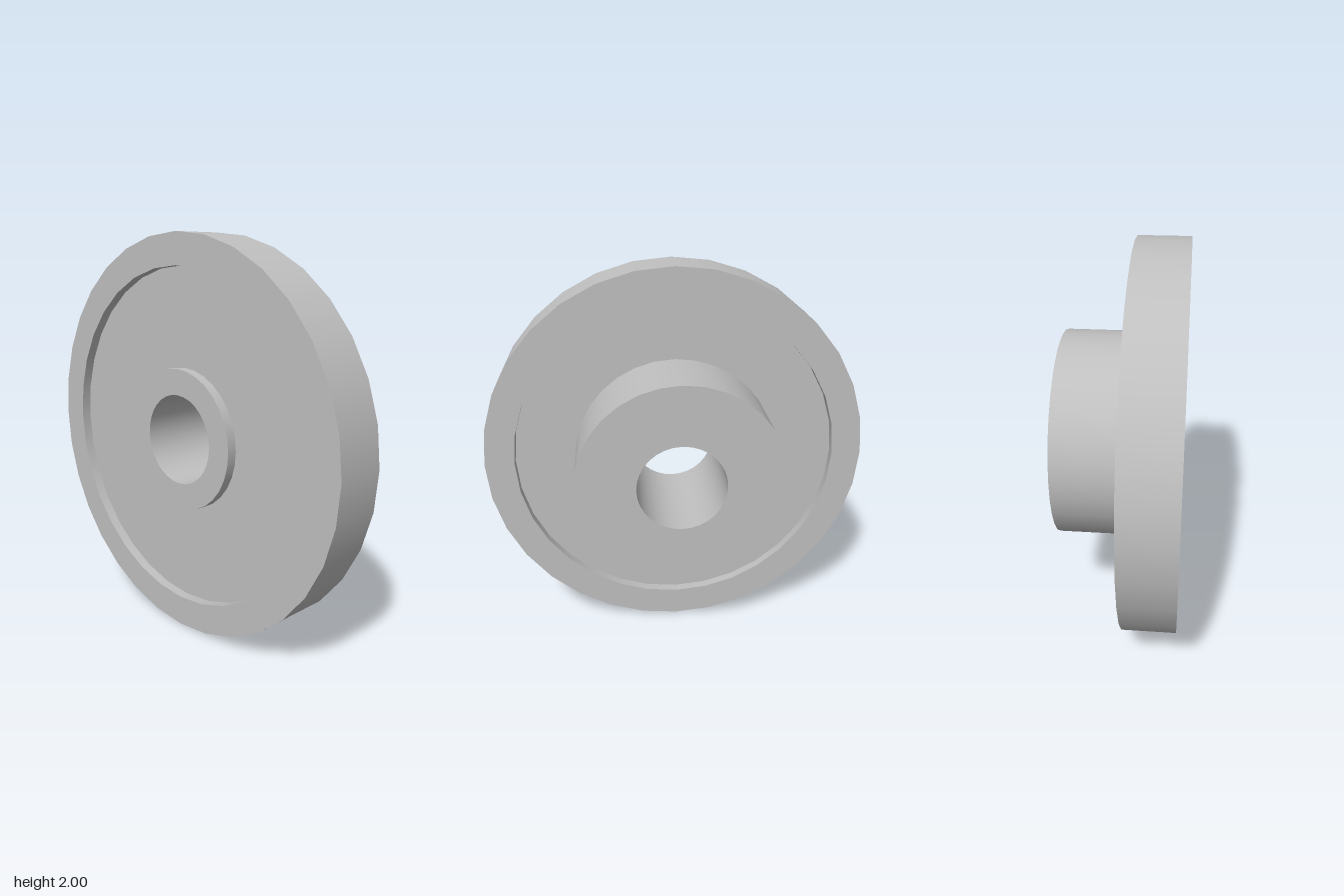
import * as THREE from 'three';
import { mergeGeometries } from 'three/addons/utils/BufferGeometryUtils.js';

const SEGMENTS = 32;

// Turn a profile of [radius, z] points about the z axis, with a sharp edge at each point
function turned(profile) {
  const bands = [];
  for (let i = 0; i < profile.length - 1; i++) {
    const pts = [profile[i], profile[i + 1]].map(([r, z]) => new THREE.Vector2(r, z));
    bands.push(new THREE.LatheGeometry(pts, SEGMENTS));
  }
  return mergeGeometries(bands).rotateX(Math.PI / 2).translate(0, 1, 0);
}

export function createModel() {
  const group = new THREE.Group();
  group.name = 'flangedWheel';
  const metal = new THREE.MeshStandardMaterial({ color: 0xbfbfbf });
  metal.name = 'grey metal';

  const bore = 0.225, boss = 0.355, hub = 0.53, recess = 0.845, rim = 1;
  const back = -0.31, front = 0.31, rimBack = 0.045, depth = 0.05;

  const parts = {
    // Raised outer ring
    rim: [[recess, rimBack + depth], [recess, rimBack], [rim, rimBack],
      [rim, front], [recess, front], [recess, front - depth]],
    // Recessed disc, front and back faces
    webFront: [[recess, front - depth], [boss, front - depth]],
    webBack: [[hub, rimBack + depth], [recess, rimBack + depth]],
    // Rear hub cylinder
    hub: [[bore, back], [hub, back], [hub, rimBack + depth]],
    // Small front boss and the through hole
    boss: [[boss, front - depth], [boss, front], [bore, front]],
    bore: [[bore, front], [bore, back]],
  };
  for (const [name, profile] of Object.entries(parts)) {
    const mesh = new THREE.Mesh(turned(profile), metal);
    mesh.name = name;
    group.add(mesh);
  }
  return group;
}
